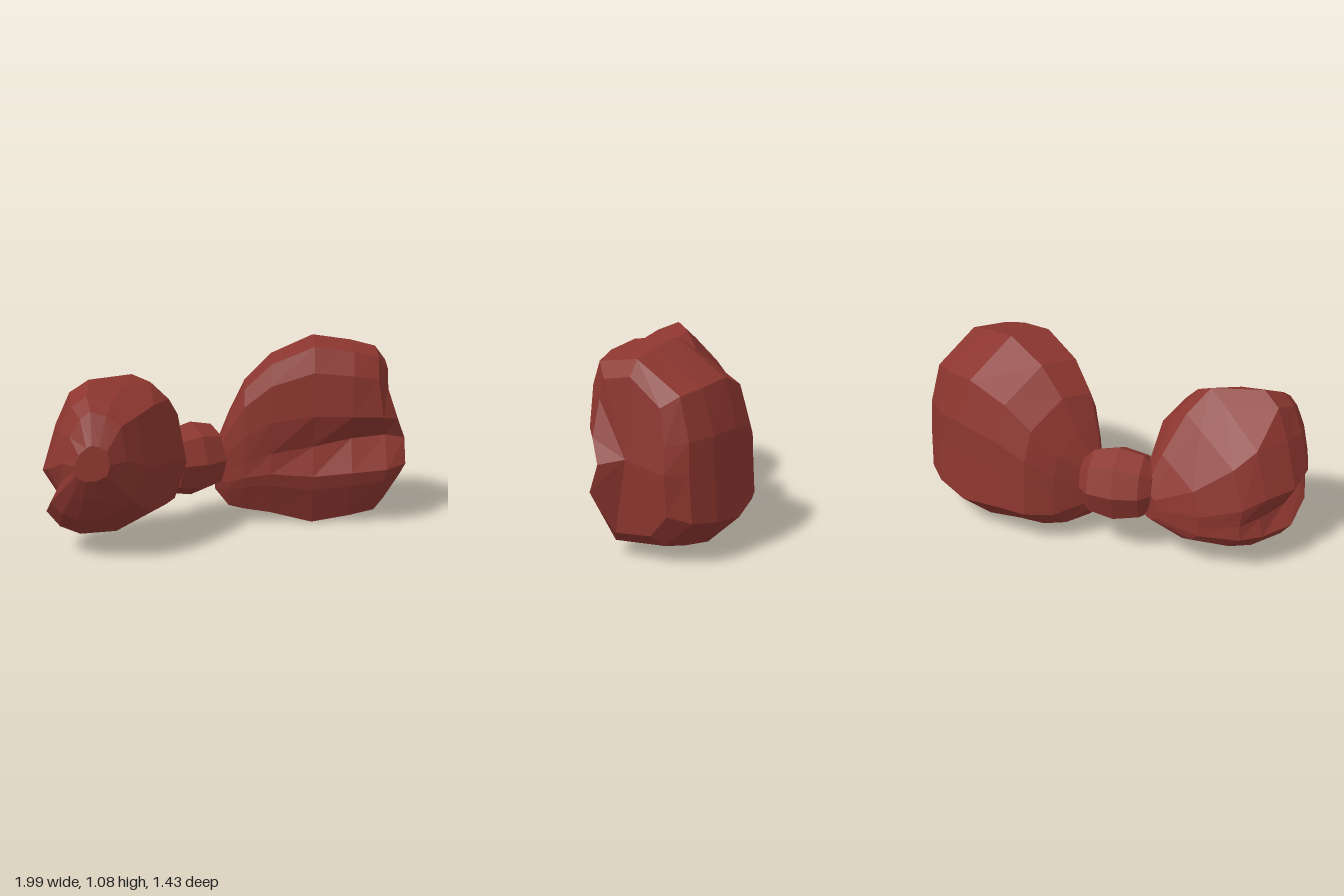
import * as THREE from 'three';

// Skins a row of equal-length rings with flat facets and closes both ends.
function loft(rings, material, name) {
  const n = rings[0].length;
  const tris = [];
  for (let i = 0; i < rings.length - 1; i++) {
    for (let j = 0; j < n; j++) {
      const k = (j + 1) % n;
      const a = rings[i][j], b = rings[i][k], c = rings[i + 1][k], d = rings[i + 1][j];
      tris.push([a, b, c], [a, c, d]);
    }
  }
  const cap = (ring, flip) => {
    const mid = ring.reduce((s, p) => s.add(p), new THREE.Vector3()).divideScalar(n);
    ring.forEach((p, j) => {
      const q = ring[(j + 1) % n];
      tris.push(flip ? [mid, q, p] : [mid, p, q]);
    });
  };
  cap(rings[0], true);
  cap(rings[rings.length - 1], false);

  // Turn the faces outward whichever way the rings run.
  const volume = tris.reduce((s, [a, b, c]) => s + a.dot(b.clone().cross(c)), 0);
  const points = tris.flatMap(([a, b, c]) => (volume < 0 ? [a, c, b] : [a, b, c]));
  const geometry = new THREE.BufferGeometry().setFromPoints(points);
  geometry.computeVertexNormals();
  const mesh = new THREE.Mesh(geometry, material);
  mesh.name = name;
  return mesh;
}

const lerp = THREE.MathUtils.lerp;

export function createModel() {
  const group = new THREE.Group();
  group.name = 'bow';
  const red = new THREE.MeshStandardMaterial({ color: 0x8c362f });
  red.name = 'dark red';
  red.flatShading = true;

  // Large lobe: sections across x, with a fold along the front (u back to front, v up).
  const largeProfile = (g) => [
    [0.27, 0.02], [0.78, 0], [0.92, 0.2], [0.96, 0.28], [0.97 - g, 0.4 + 0.5 * g], [1, 0.61],
    [1, 0.84], [0.93, 0.97], [0.55, 1], [0.13, 0.83], [0.03, 0.6], [0.02, 0.43], [0, 0.17],
  ];
  // x, bottom, top, front, back, fold depth, end bulge
  const largeStations = [
    [-0.1, 0.2, 0.45, -0.16, -0.28, 0, 0],
    [-0.02, 0.1, 0.64, -0.11, -0.46, 0, 0],
    [0.07, 0.08, 0.82, -0.07, -0.59, 0, 0],
    [0.22, 0.06, 0.97, -0.045, -0.66, 0.02, 0],
    [0.46, 0, 1.075, -0.04, -0.72, 0.07, 0],
    [0.68, 0.04, 1.045, -0.045, -0.72, 0.13, 0],
    [0.82, 0.07, 1.01, -0.08, -0.67, 0.16, 0.07],
    [0.88, 0.13, 0.93, -0.16, -0.57, 0.12, 0.13],
  ];
  group.add(loft(largeStations.map(([x, yb, yt, zf, zb, g, bulge]) =>
    largeProfile(g).map(([u, v]) => new THREE.Vector3(
      x + bulge * (0.3 + 0.7 * u) * Math.max(0, 1 - ((v - 0.38) / 0.32) ** 2),
      lerp(yb, yt, v), lerp(zb, zf, u)))), red, 'leftLobe'));

  // Small lobe: sections across z, with a short fold on its outer side (u outer to inner)
  // and a top ridge at u = r that runs diagonally.
  const smallProfile = (g, r) => [
    [0.3, 0], [0.13, 0.05], [0.02, 0.15], [0.02 + g, 0.27], [0, 0.42], [0.12, 0.72],
    [r - 0.16, 0.92], [r, 1], [lerp(r, 0.93, 0.5), 0.95], [0.93, 0.84], [1, 0.45],
    [0.9, 0.15], [0.6, 0.02],
  ];
  // z, outer x, inner x, bottom, top, fold depth, ridge
  const smallStations = [
    [-0.13, -0.5, -0.38, 0.24, 0.42, 0, 0.65],
    [-0.04, -0.74, -0.32, 0.16, 0.6, 0, 0.7],
    [0.1, -0.92, -0.25, 0.12, 0.81, 0.01, 0.66],
    [0.22, -0.97, -0.29, 0.095, 0.945, 0.04, 0.64],
    [0.41, -1, -0.36, 0.11, 0.95, 0.1, 0.4],
    [0.56, -0.95, -0.45, 0.23, 0.89, 0.08, 0.42],
    [0.65, -0.86, -0.53, 0.36, 0.83, 0.03, 0.45],
    [0.715, -0.79, -0.61, 0.48, 0.67, 0, 0.5],
  ];
  group.add(loft(smallStations.map(([z, xl, xr, yb, yt, g, r]) =>
    smallProfile(g, r).map(([u, v]) => new THREE.Vector3(
      lerp(xl, xr, u), lerp(yb, yt, v), z))), red, 'rightLobe'));

  // Knot: a rounded eight-sided barrel lying between the lobes.
  const knotStations = [[-0.2, 0.55], [-0.14, 0.86], [0, 1], [0.14, 0.86], [0.2, 0.55]];
  const knot = loft(knotStations.map(([x, s]) =>
    Array.from({ length: 8 }, (_, i) => {
      const a = (i / 8) * Math.PI * 2;
      return new THREE.Vector3(x, 0.215 * s * Math.sin(a), 0.19 * s * Math.cos(a));
    })), red, 'knot');
  knot.position.set(-0.24, 0.385, -0.165);
  knot.rotation.y = 0.6;
  group.add(knot);

  return group;
}
